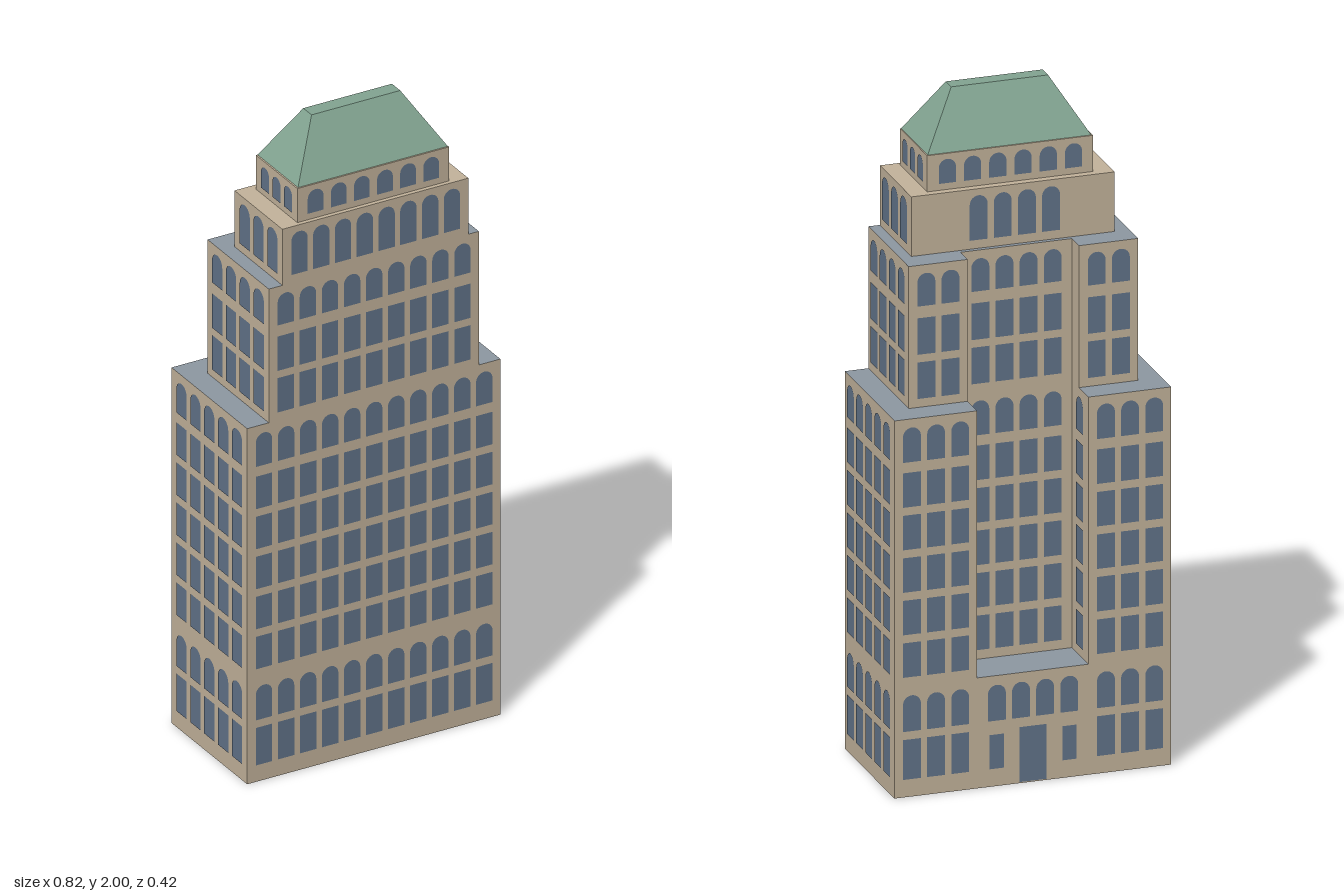
import * as THREE from 'three';
import { mergeGeometries } from 'three/addons/utils/BufferGeometryUtils.js';

export function createModel() {
  const model = new THREE.Group();
  model.name = 'tower';
  const material = (name, color) => {
    const m = new THREE.MeshStandardMaterial({ color, side: THREE.DoubleSide });
    m.name = name;
    return m;
  };
  const stone = material('tan stone', 0xc4b49c);
  const glass = material('blue glass', 0x62748a);
  const slate = material('grey terrace', 0x8e99a3);
  const copper = material('green copper', 0x83a592);

  const add = (name, geometry, mat, parent = model) => {
    const mesh = new THREE.Mesh(geometry, mat);
    mesh.name = name;
    parent.add(mesh);
    return mesh;
  };

  // Footprint corners [x, z], running front left to front right, then round the back
  const rect = (x0, x1, z0, z1) => [[x0, z1], [x1, z1], [x1, z0], [x0, z0]];
  const notched = (hx, zBack) => [
    [-hx, 0.21], [hx, 0.21], [hx, zBack], [0.165, zBack],
    [0.165, -0.07], [-0.165, -0.07], [-0.165, zBack], [-hx, zBack],
  ];

  // Ring of flat side faces between a lower and an upper outline
  function sides(lower, upper, y0, y1) {
    const p = [];
    lower.forEach((a, i) => {
      const j = (i + 1) % lower.length;
      const b = lower[j], c = upper[j], d = upper[i];
      p.push(a[0], y0, a[1], b[0], y0, b[1], c[0], y1, c[1]);
      p.push(a[0], y0, a[1], c[0], y1, c[1], d[0], y1, d[1]);
    });
    const g = new THREE.BufferGeometry();
    g.setAttribute('position', new THREE.Float32BufferAttribute(p, 3));
    g.computeVertexNormals();
    return g;
  }
  function cap(outline, y) {
    const shape = new THREE.Shape(outline.map(([x, z]) => new THREE.Vector2(x, -z)));
    return new THREE.ShapeGeometry(shape).rotateX(-Math.PI / 2).translate(0, y, 0);
  }
  function tier(name, outline, y0, y1, topMat) {
    const group = new THREE.Group();
    group.name = name;
    model.add(group);
    add(name + 'Walls', sides(outline, outline, y0, y1), stone, group);
    add(name + 'Top', cap(outline, y1), topMat, group);
  }

  // Stacked masses; the podium is open underneath
  const podium = rect(-0.41, 0.41, -0.21, 0.21);
  add('podiumWalls', sides(podium, podium, 0, 0.33), stone);
  add('courtFloor', cap(rect(-0.165, 0.165, -0.21, -0.07), 0.33), slate);
  tier('mainBlock', notched(0.41, -0.21), 0.33, 1.128, slate);
  tier('upperBlock', notched(0.34, -0.13), 1.128, 1.552, slate);
  tier('setback', rect(-0.296, 0.306, -0.056, 0.21), 1.552, 1.73, stone);
  tier('crown', rect(-0.24, 0.251, -0.033, 0.197), 1.73, 1.838, stone);

  // Hipped roof with a narrow flat ridge
  const ridge = rect(-0.138, 0.149, 0.055, 0.101);
  add('roofSlopes', sides(rect(-0.236, 0.249, -0.031, 0.194), ridge, 1.839, 2), copper);
  add('roofRidge', cap(ridge, 2), copper);

  // Window pane, optionally with a round head
  function pane(u, w, y0, y1, arched) {
    const s = new THREE.Shape();
    const r = w / 2;
    s.moveTo(u - r, y0);
    s.lineTo(u + r, y0);
    if (arched) s.absarc(u, y1 - r, r, 0, Math.PI, false);
    else s.lineTo(u + r, y1).lineTo(u - r, y1);
    return new THREE.ShapeGeometry(s, 8);
  }
  // Window grid centred on wall point (x, z), facing the given angle
  function windows(name, x, z, angle, count, pitch, w, rows) {
    const panes = [];
    for (const [y0, y1, arched] of rows) {
      for (let i = 0; i < count; i++) {
        panes.push(pane((i - (count - 1) / 2) * pitch, w, y0, y1, arched));
      }
    }
    const mesh = add(name, mergeGeometries(panes), glass);
    mesh.rotation.y = angle;
    mesh.position.set(x + Math.sin(angle) * 0.002, 0, z + Math.cos(angle) * 0.002);
  }

  const streetRows = [[0.053, 0.172], [0.196, 0.303, true]];
  const archOnly = [streetRows[1]];
  const mainRows = [[1.0, 1.103, true]];
  for (let i = 0; i < 5; i++) mainRows.push([0.358 + i * 0.127, 0.461 + i * 0.127]);
  const lowerRows = [...streetRows, ...mainRows];
  const upperRows = [[1.154, 1.263], [1.286, 1.395], [1.43, 1.528, true]];
  const setbackRows = [[1.578, 1.711, true]];
  const crownRows = [[1.75, 1.822, true]];
  const back = Math.PI;

  // Front
  windows('mainFrontWindows', 0, 0.21, 0, 11, 0.0713, 0.053, lowerRows);
  windows('upperFrontWindows', 0, 0.21, 0, 9, 0.0715, 0.053, upperRows);
  windows('setbackFrontWindows', 0.005, 0.21, 0, 8, 0.0705, 0.053, setbackRows);
  windows('crownFrontWindows', 0.005, 0.197, 0, 6, 0.0748, 0.051, crownRows);

  // Both sides, wings and court walls
  for (const s of [1, -1]) {
    const a = s * Math.PI / 2;
    const side = s > 0 ? 'left' : 'right';
    windows(side + 'MainWindows', s * 0.41, 0.003, a, 5, 0.077, 0.057, lowerRows);
    windows(side + 'UpperWindows', s * 0.34, 0.042, a, 4, 0.077, 0.057, upperRows);
    windows(side + 'SetbackWindows', 0.005 + s * 0.301, 0.081, a, 3, 0.077, 0.057, setbackRows);
    windows(side + 'CrownWindows', 0.0055 + s * 0.2455, 0.085, a, 3, 0.064, 0.045, crownRows);
    windows(side + 'WingBackWindows', s * 0.2875, -0.21, back, 3, 0.0715, 0.053, lowerRows);
    windows(side + 'UpperWingBackWindows', s * 0.2525, -0.13, back, 2, 0.0715, 0.053, upperRows);
    windows(side + 'CourtSideWindows', s * 0.165, -0.14, -a, 1, 0, 0.057, mainRows);
  }

  // Back centre, with entrance door
  windows('courtBackWindows', 0, -0.07, back, 4, 0.0715, 0.053, [...mainRows, ...upperRows]);
  windows('setbackBackWindows', 0, -0.056, back, 4, 0.0715, 0.053, setbackRows);
  windows('crownBackWindows', 0.005, -0.033, back, 6, 0.0748, 0.051, crownRows);
  windows('podiumBackArches', 0, -0.21, back, 4, 0.0715, 0.053, archOnly);
  windows('entranceSideWindows', 0, -0.21, back, 2, 0.215, 0.042, [[0.053, 0.155]]);
  windows('entranceDoor', 0, -0.21, back, 1, 0, 0.08, [[0.004, 0.168]]);

  return model;
}
